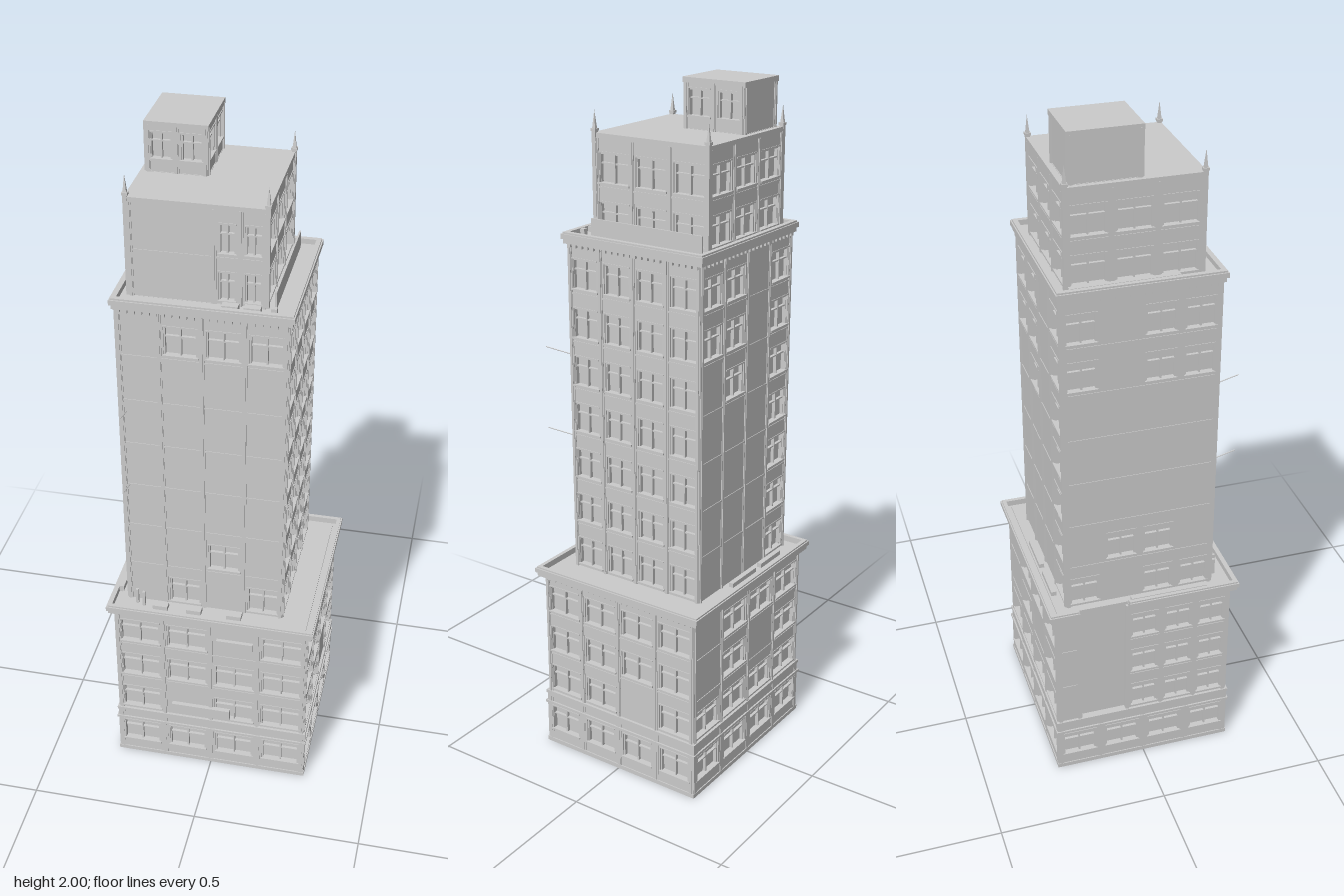
import * as THREE from 'three';
import { mergeGeometries } from 'three/addons/utils/BufferGeometryUtils.js';

const grey = new THREE.MeshStandardMaterial({ color: 0xcccccc, flatShading: true });
const INSET = 0.015; // depth of the glass behind the wall face

// Box from its min and max corners
function box(x0, x1, y0, y1, z0, z1) {
  return new THREE.BoxGeometry(x1 - x0, y1 - y0, z1 - z0)
    .translate((x0 + x1) / 2, (y0 + y1) / 2, (z0 + z1) / 2);
}

function add(parent, name, geos) {
  const mesh = new THREE.Mesh(mergeGeometries(geos), grey);
  mesh.name = name;
  parent.add(mesh);
  return mesh;
}

// Two-light window with frame, mullion, transom, sill and surrounding wall
function windowCell(walls, frames, x0, x1, y0, y1, o) {
  const m = Math.min(o.margin, (x1 - x0) * 0.2), h = y1 - y0;
  const a = x0 + m, b = x1 - m, c = y0 + h * o.sill, d = y0 + h * o.head, t = 0.0045;
  walls.push(box(x0, a, y0, y1, -INSET, 0), box(b, x1, y0, y1, -INSET, 0),
    box(a, b, y0, c, -INSET, 0), box(a, b, d, y1, -INSET, 0));
  const mid = (a + b) / 2, tr = c + (d - c) * 0.62;
  frames.push(box(a, a + t, c, d, -INSET, -0.004), box(b - t, b, c, d, -INSET, -0.004),
    box(mid - t / 2, mid + t / 2, c, d, -INSET, -0.005), box(a, b, d - t, d, -INSET, -0.004),
    box(a, b, tr, tr + 0.004, -INSET, -0.006),
    box(a - 0.003, b + 0.003, c - 0.005, c, -INSET, 0.004),
    box(a - 0.002, b + 0.002, d, d + 0.004, -INSET, 0.002));
}

// One face. rows run top to bottom: W window, . solid wall, - open recess
function facade(name, w, y0, y1, rows, opt = {}) {
  const o = { margin: 0.012, sill: 0.1, head: 0.7, pier: 0.013, piers: true, proud: 0.005, ...opt };
  const n = rows[0].length, g = new THREE.Group();
  g.name = name;
  const fr = o.bays || Array(n).fill(1 / n);
  const edges = [-w / 2];
  fr.forEach((f, i) => edges.push(edges[i] + f * w));
  const walls = [], frames = [], piers = [], belts = [];
  const pitch = (y1 - y0) / rows.length;
  rows.forEach((row, r) => {
    const top = y1 - r * pitch, bot = top - pitch;
    [...row].forEach((c, i) => {
      const a = edges[i], b = edges[i + 1];
      if (c === 'W') windowCell(walls, frames, a, b, bot, top, o);
      if (c === '.') walls.push(box(a, b, bot, top, -INSET, 0));
      if (c !== '-') belts.push(box(a, b, bot - 0.002, bot + 0.003, -INSET, 0.002));
    });
  });
  // Stepped pilasters, always at the corners
  edges.forEach((e, i) => {
    const end = i === 0 || i === n;
    if (!end && !o.piers) return;
    const c = i === 0 ? e + o.pier / 2 : i === n ? e - o.pier / 2 : e;
    piers.push(box(c - o.pier / 2, c + o.pier / 2, y0, y1, -INSET, o.proud * 0.5),
      box(c - o.pier / 4, c + o.pier / 4, y0, y1, -INSET, o.proud));
  });
  add(g, 'wall', walls);
  if (frames.length) add(g, 'windowFrames', frames);
  add(g, 'pilasters', piers);
  add(g, 'floorBands', belts);
  return g;
}

// Four faces around a solid core; e = [x0, x1, z0, z1]
function storey(root, name, e, y0, y1, sides) {
  const [x0, x1, z0, z1] = e, g = new THREE.Group();
  g.name = name;
  add(g, 'core', [box(x0 + INSET, x1 - INSET, y0, y1, z0 + INSET, z1 - INSET)]);
  const cx = (x0 + x1) / 2, cz = (z0 + z1) / 2, w = x1 - x0, d = z1 - z0;
  const place = {
    front: [w, cx, z1, 0], right: [d, x1, cz, Math.PI / 2],
    back: [w, cx, z0, Math.PI], left: [d, x0, cz, -Math.PI / 2],
  };
  for (const [side, [len, px, pz, rot]] of Object.entries(place)) {
    const f = facade(side + 'Face', len, y0, y1, sides[side][0], sides[side][1]);
    f.position.set(px, 0, pz);
    f.rotation.y = rot;
    g.add(f);
  }
  root.add(g);
}

// Rectangular ring of four bars; an optional gap [za, zb] opens the -x bar
function ring([x0, x1, z0, z1], y0, y1, t, gap) {
  const out = [box(x0, x1, y0, y1, z0, z0 + t), box(x0, x1, y0, y1, z1 - t, z1),
    box(x1 - t, x1, y0, y1, z0 + t, z1 - t)];
  const cuts = gap ? [[z0 + t, gap[0]], [gap[1], z1 - t]] : [[z0 + t, z1 - t]];
  cuts.forEach(([a, b]) => out.push(box(x0, x0 + t, y0, y1, a, b)));
  return out;
}

const grow = ([a, b, c, d], s) => [a - s, b + s, c - s, d + s];

// Stepped cornice with dentils and a sunken roof
function cornice(root, name, e, wall, y0, y1, t, gap) {
  const g = new THREE.Group(), h = y1 - y0;
  g.name = name;
  add(g, 'moulding', [...ring(grow(e, -0.005), y0, y0 + h * 0.4, t + 0.012, gap),
    ...ring(e, y0 + h * 0.4, y1 - h * 0.15, t, gap),
    ...ring(grow(e, -0.004), y1 - h * 0.15, y1, t - 0.004, gap)]);
  add(g, 'roof', [box(wall[0] + 0.005, wall[1] - 0.005, y0, y0 + h * 0.55, wall[2] + 0.005, wall[3] - 0.005)]);
  const teeth = [], k = 0.0045, p = 0.008;
  for (let x = wall[0] + 0.01; x < wall[1]; x += 0.02)
    teeth.push(box(x - k, x + k, y0 - 0.009, y0, wall[3], wall[3] + p),
      box(x - k, x + k, y0 - 0.009, y0, wall[2] - p, wall[2]));
  for (let z = wall[2] + 0.01; z < wall[3]; z += 0.02) {
    teeth.push(box(wall[1], wall[1] + p, y0 - 0.009, y0, z - k, z + k));
    if (!gap || z < gap[0] || z > gap[1]) teeth.push(box(wall[0] - p, wall[0], y0 - 0.009, y0, z - k, z + k));
  }
  add(g, 'dentils', teeth);
  root.add(g);
}

const fill = (row, n) => Array(n).fill(row);

export function createModel() {
  const root = new THREE.Group();
  root.name = 'setbackTower';

  // Shop floor
  const ground = [-0.293, 0.293, -0.27, 0.268];
  const shop = [['WWWW'], { margin: 0.016, sill: 0.28, head: 0.72, pier: 0.02, proud: 0.002 }];
  storey(root, 'groundFloor', ground, 0, 0.175, { front: shop, right: shop, back: shop, left: shop });
  add(root, 'groundTrim', [...ring(grow(ground, 0.003), 0, 0.012, 0.02),
    ...ring(grow(ground, 0.005), 0.135, 0.143, 0.02), ...ring(grow(ground, 0.003), 0.168, 0.178, 0.022)]);

  // Lower block, with a tall recess on the left of the rear side
  const base = [-0.288, 0.288, -0.265, 0.263];
  const gap = [-0.2, -0.05];
  storey(root, 'lowerBlock', base, 0.175, 0.575, {
    front: [['WW.W', 'WWWW', 'W.WW']],
    right: [['WWWW', 'WWWW', 'WW.W']],
    back: [['.WWW', '.W.W', 'WWWW']],
    left: [['.-WWW', '.-WWW', '.-WWW'], { bays: [0.123, 0.284, 0.198, 0.198, 0.197] }],
  });
  cornice(root, 'lowerCornice', [-0.31, 0.31, -0.289, 0.286], base, 0.568, 0.598, 0.016, gap);

  // Main shaft
  const shaft = [-0.258, 0.205, -0.226, 0.213];
  storey(root, 'mainShaft', shaft, 0.58, 1.566, {
    front: [['.WWW', ...fill('....', 4), '..W.', '.W.W']],
    right: [fill('WWWW', 7)],
    back: [['WW.W', 'WW.W', '.W.W', ...fill('...W', 4)]],
    left: [['W.WW', 'W.WW', ...fill('....', 3), '.WW.', 'W.WW'], { piers: false }],
  });
  cornice(root, 'shaftCornice', [-0.272, 0.22, -0.24, 0.226], shaft, 1.565, 1.597, 0.018);

  // Upper block
  const upper = [-0.23, 0.136, -0.203, 0.166];
  const rows = fill('WWW', 2);
  storey(root, 'upperBlock', upper, 1.58, 1.85, {
    front: [fill('.WW', 2), { bays: [0.62, 0.19, 0.19] }],
    right: [rows], back: [rows], left: [rows],
  });
  add(root, 'upperRoof', [box(-0.234, 0.14, 1.848, 1.862, -0.207, 0.17)]);

  // Corner posts with pointed finials
  const posts = [];
  for (const x of [-0.231, 0.137]) for (const z of [-0.202, 0.165]) {
    posts.push(box(x - 0.006, x + 0.006, 1.585, 1.872, z - 0.006, z + 0.006),
      box(x - 0.008, x + 0.008, 1.866, 1.873, z - 0.008, z + 0.008),
      new THREE.ConeGeometry(0.007, 0.05, 4).rotateY(Math.PI / 4).translate(x, 1.897, z));
  }
  add(root, 'cornerFinials', posts);

  // Roof house
  const house = [-0.218, -0.054, -0.188, 0.004];
  storey(root, 'roofHouse', house, 1.86, 1.99, {
    front: [['WW'], { sill: 0.3, head: 0.85 }],
    right: [['WW'], { sill: 0.3, head: 0.85 }],
    back: [['.']], left: [['.']],
  });
  add(root, 'roofHouseTop', [box(-0.221, -0.05, 1.985, 2, -0.193, 0.008)]);

  // Sign boards on the front
  add(root, 'signBoards', [box(-0.12, 0.06, 0.193, 0.23, 0.262, 0.276),
    box(0.02, 0.13, 0.485, 0.512, 0.262, 0.274)]);

  // Low curbs and boxes on the setback roofs
  const fixtures = [box(-0.295, -0.28, 0.58, 0.6, -0.04, 0.19),
    box(-0.195, -0.085, 0.58, 0.598, -0.255, -0.24), box(-0.055, 0.07, 0.58, 0.598, -0.255, -0.24),
    box(-0.255, -0.241, 1.575, 1.598, -0.2, 0.1), box(0.157, 0.162, 1.58, 1.632, -0.2, 0.165),
    box(0.153, 0.168, 1.58, 1.6, 0.184, 0.198)];
  for (const x of [-0.153, -0.052, 0.068]) fixtures.push(box(x - 0.022, x + 0.022, 0.58, 0.598, 0.229, 0.254));
  for (const x of [0.045, 0.104]) fixtures.push(box(x - 0.022, x + 0.022, 1.58, 1.598, 0.181, 0.203));
  for (const [x, z] of [[-0.226, 0.233], [-0.204, 0.241]])
    fixtures.push(box(x - 0.004, x + 0.004, 0.58, 0.635, z - 0.004, z + 0.004));
  add(root, 'roofFixtures', fixtures);

  // Thin poles projecting from the front corners
  const poles = [];
  for (const y of [1.01, 1.255]) for (const [xa, xb] of [[-0.239, -0.239], [0.205, 0.235]]) {
    const path = new THREE.LineCurve3(new THREE.Vector3(xa, y - 0.01, 0.21), new THREE.Vector3(xb, y + 0.008, 0.278));
    poles.push(new THREE.TubeGeometry(path, 1, 0.0016, 5));
  }
  add(root, 'frontPoles', poles);
  return root;
}
